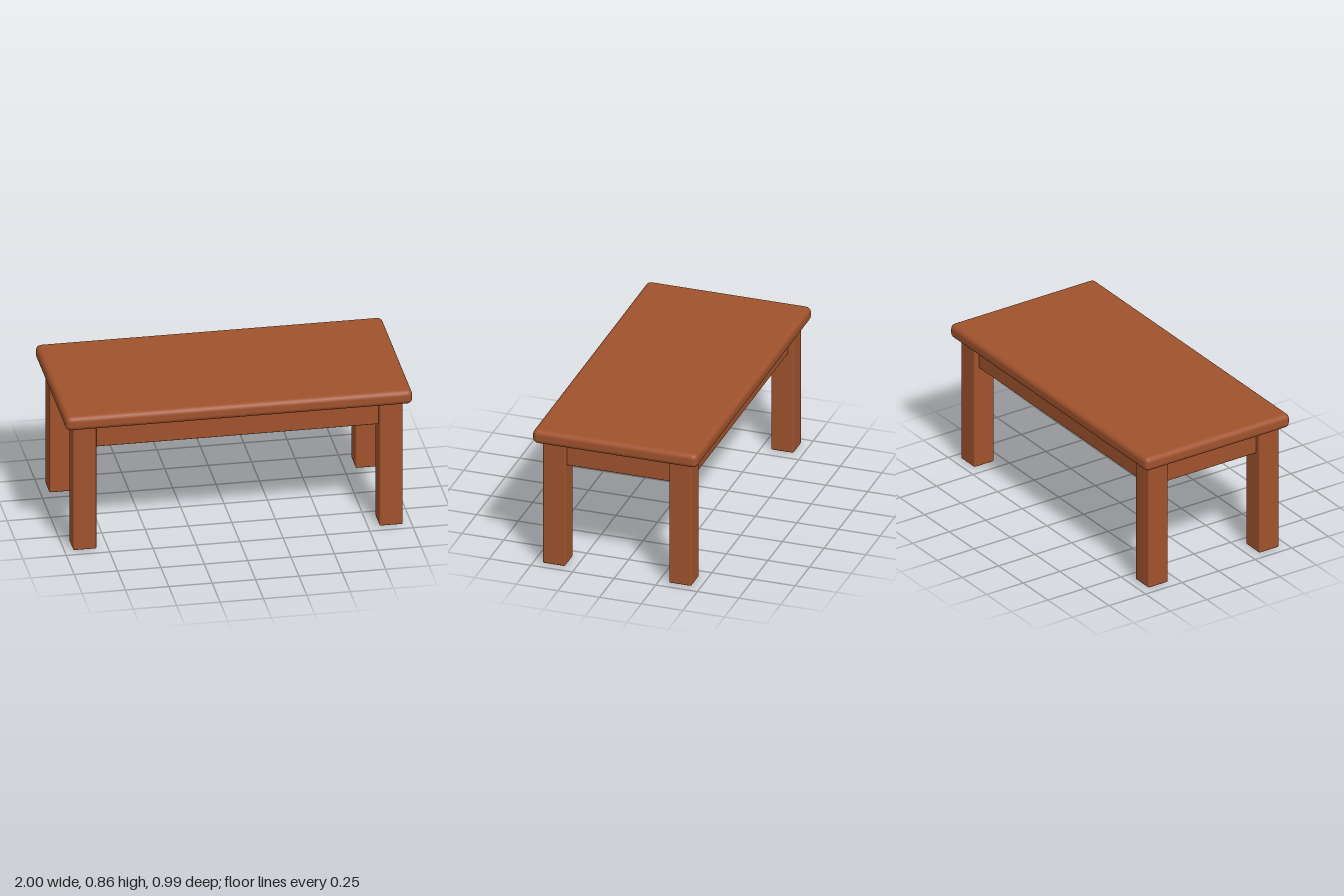
import * as THREE from 'three';
import { RoundedBoxGeometry } from 'three/addons/geometries/RoundedBoxGeometry.js';

export function createModel() {
  const group = new THREE.Group();
  const wood = new THREE.MeshStandardMaterial({ color: 0xa0522d });
  wood.name = 'brown wood';

  // Softly rounded board, placed by its centre
  function board(name, [w, h, d], radius, [x, y, z]) {
    const mesh = new THREE.Mesh(new RoundedBoxGeometry(w, h, d, 4, radius), wood);
    mesh.name = name;
    mesh.position.set(x, y, z);
    group.add(mesh);
  }

  // Table top with rounded edges
  board('tableTop', [2, 0.087, 0.99], 0.032, [0, 0.8165, 0]);

  // Four square legs
  const leg = 0.134, legX = 0.883, legZ = 0.379;
  for (const sx of [-1, 1]) {
    for (const sz of [-1, 1]) {
      const name = (sz > 0 ? 'front' : 'back') + (sx > 0 ? 'Left' : 'Right') + 'Leg';
      board(name, [leg, 0.79, leg], 0.008, [sx * legX, 0.395, sz * legZ]);
    }
  }

  // Aprons under the top, set back from the outer leg faces
  const thick = 0.1, height = 0.16, y = 0.628 + height / 2;
  for (const s of [-1, 1]) {
    board(s > 0 ? 'frontApron' : 'backApron', [2 * legX, height, thick], 0.006, [0, y, s * 0.364]);
    board(s > 0 ? 'leftApron' : 'rightApron', [thick, height, 2 * legZ], 0.006, [s * 0.868, y, 0]);
  }
  return group;
}
